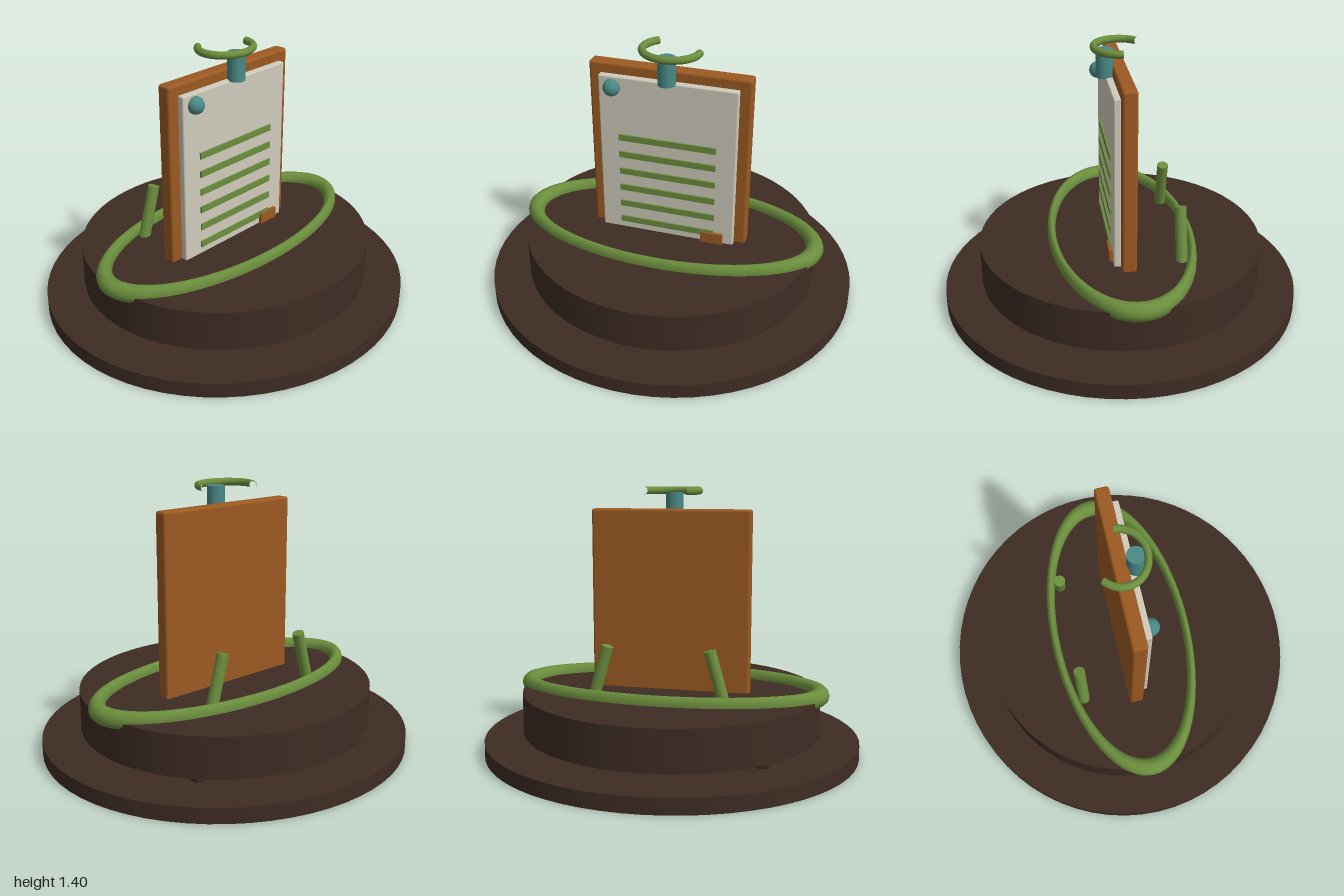
import * as THREE from 'three';
import { RoundedBoxGeometry } from 'three/addons/geometries/RoundedBoxGeometry.js';

const material = (name, color) => {
  const m = new THREE.MeshStandardMaterial({ color });
  m.name = name;
  return m;
};

export function createModel() {
  const model = new THREE.Group();
  const darkBrown = material('dark brown', 0x3e2c23);
  const green = material('green', 0x6b8e3d);
  const teal = material('teal', 0x4a8a86);
  const paperWhite = material('paper', 0xcfcbbb);
  const wood = material('orange wood', 0x9c5a22);

  const add = (name, geometry, mat, x = 0, y = 0, z = 0) => {
    const mesh = new THREE.Mesh(geometry, mat);
    mesh.name = name;
    mesh.position.set(x, y, z);
    model.add(mesh);
    return mesh;
  };
  // Box given by its lower and upper corners
  const block = (name, mat, [x0, y0, z0], [x1, y1, z1], bevel = 0) => {
    const size = [x1 - x0, y1 - y0, z1 - z0];
    const geometry = bevel
      ? new RoundedBoxGeometry(...size, 2, bevel)
      : new THREE.BoxGeometry(...size);
    return add(name, geometry, mat, (x0 + x1) / 2, (y0 + y1) / 2, (z0 + z1) / 2);
  };
  // Horizontal slightly oval disc
  const disc = (name, radius, y0, y1) =>
    add(name, new THREE.CylinderGeometry(radius, radius, y1 - y0, 64).scale(1, 1, 0.957),
      darkBrown, 0, (y0 + y1) / 2, 0);

  // Two-tier plinth
  disc('basePlate', 1, 0, 0.08);
  disc('upperPlinth', 0.793, 0.115, 0.33);

  // Oval rim lying on the plinth, thick at the sides and thin front and back
  add('ovalRim', new THREE.TorusGeometry(0.793, 0.048, 12, 64)
    .rotateX(Math.PI / 2).scale(1, 1, 0.468), green, 0, 0.333, 0);

  // Board and paper
  block('board', wood, [-0.425, 0.25, -0.036], [0.425, 1.285, 0.04], 0.014);
  block('paper', paperWhite, [-0.365, 0.28, 0.036], [0.365, 1.23, 0.075], 0.008);

  // Written lines
  for (let i = 0; i < 6; i++) {
    const y = 0.89 - i * 0.101;
    block('writtenLine', green, [-0.26, y - 0.017, 0.07], [0.26, y + 0.017, 0.084]);
  }
  block('cornerTab', wood, [0.19, 0.32, 0.07], [0.31, 0.39, 0.093]);

  // Pin and clip
  add('pin', new THREE.SphereGeometry(0.045, 16, 12), teal, -0.29, 1.172, 0.083);
  add('clipPost', new THREE.CylinderGeometry(0.046, 0.046, 0.145, 24), teal, 0, 1.298, 0.076);
  add('clipHook', new THREE.TorusGeometry(0.146, 0.02, 12, 40, 4)
    .rotateX(Math.PI / 2).scale(1, 1, 0.9), green, 0, 1.379, 0);

  // Splayed rear legs and their feet
  for (const side of [-1, 1]) {
    const leg = add(side > 0 ? 'leftLeg' : 'rightLeg',
      new THREE.CylinderGeometry(0.031, 0.031, 0.535, 16), green, side * 0.337, 0.343, -0.28);
    leg.rotation.z = side * 0.274;
    block(side > 0 ? 'leftFoot' : 'rightFoot', darkBrown,
      [side * 0.443 - 0.152, 0.075, -0.467], [side * 0.443 + 0.152, 0.11, -0.323], 0.014);
  }
  return model;
}
